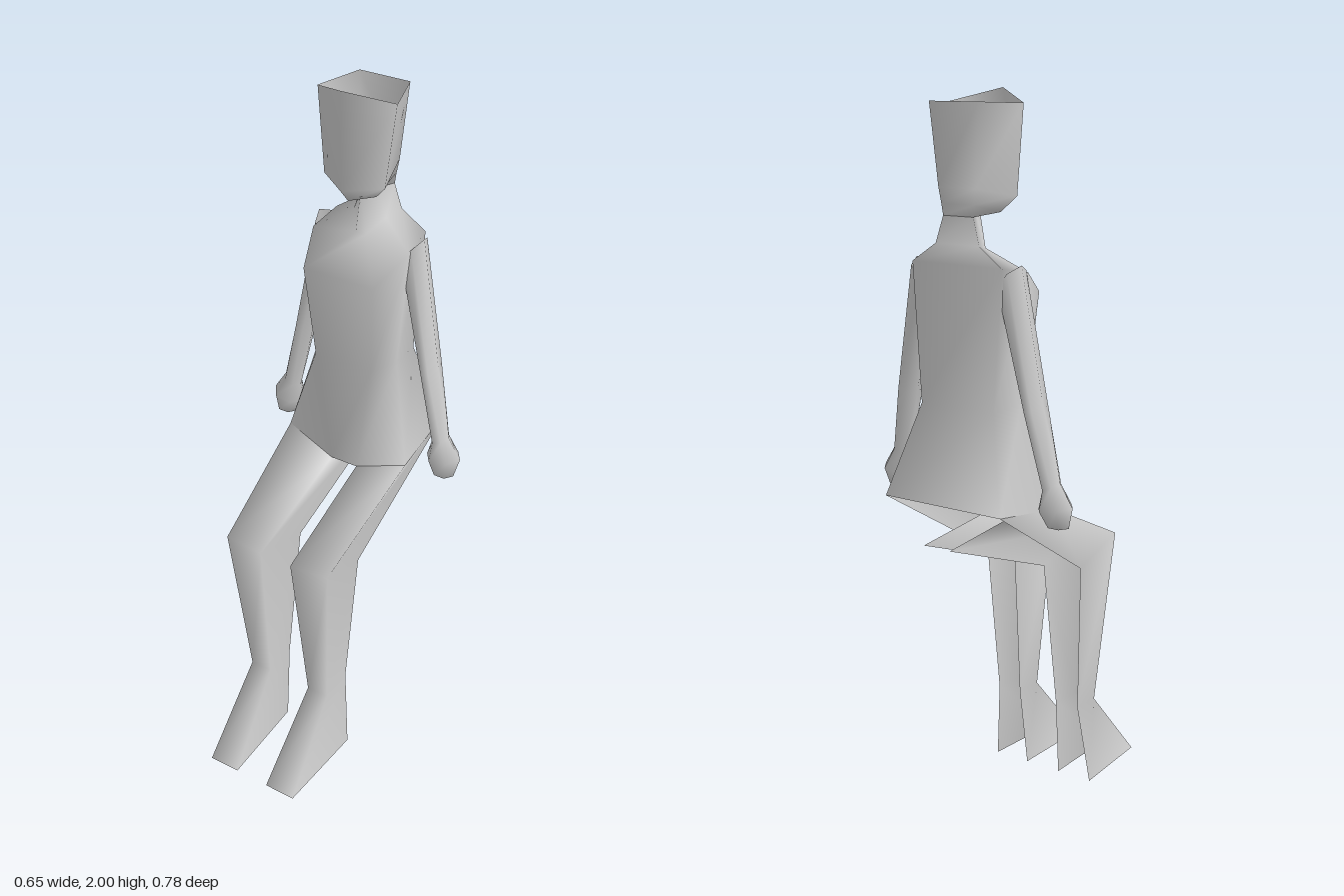
import * as THREE from 'three';

const material = new THREE.MeshStandardMaterial({ color: 0xcccccc, side: THREE.DoubleSide });

// Skin a list of cross-sections, ordered from top to bottom
function loft(name, rings, closed = true) {
  const n = rings[0].length, index = [];
  for (let i = 0; i < rings.length - 1; i++) {
    for (let j = 0; j < (closed ? n : n - 1); j++) {
      const k = (j + 1) % n;
      const a = i * n + j, b = i * n + k, c = a + n, d = b + n;
      index.push(a, c, b, b, c, d);
    }
  }
  const geometry = new THREE.BufferGeometry();
  geometry.setAttribute('position', new THREE.Float32BufferAttribute(rings.flat(2), 3));
  geometry.setIndex(index);
  geometry.computeVertexNormals();
  const mesh = new THREE.Mesh(geometry, material);
  mesh.name = name;
  return mesh;
}

const flip = ([x, y, z]) => [-x, y, z];

// Five-sided head section: front ridge, temples, back corners
const headRing = (front, side, back) => [front, side, back, flip(back), flip(side)];

// Six-sided body section: front, side and back corners, mirrored
const bodyRing = (front, side, back) =>
  [front, side, back, flip(back), flip(side), flip(front)];

// Six-sided oval section of an arm; slope tips the section outwards
function armRing(x, y, z, rx, rz, slope = 0) {
  return Array.from({ length: 6 }, (_, i) => {
    const t = (i * Math.PI) / 3 + Math.PI / 6;
    return [x + rx * Math.sin(t), y + slope * Math.sin(t), z + rz * Math.cos(t)];
  });
}

// Mirror whole sections, keeping the winding outward
const mirrorRings = (rings) => rings.map((ring) => ring.map(flip).reverse());

export function createModel() {
  const model = new THREE.Group();
  model.name = 'seatedFigure';
  const body = new THREE.Group();
  body.name = 'body';
  body.position.x = -0.02;
  model.add(body);

  // Head: open on top, narrowing under the chin to the throat
  body.add(loft('head', [
    headRing([0, 2, -0.08], [0.117, 1.965, -0.158], [0.075, 1.97, -0.292]),
    headRing([0, 1.73, -0.085], [0.092, 1.735, -0.15], [0.057, 1.76, -0.282]),
    headRing([0, 1.69, -0.12], [0.055, 1.695, -0.17], [0.05, 1.72, -0.28]),
    headRing([0, 1.69, -0.185], [0.023, 1.69, -0.23], [0.047, 1.69, -0.277]),
  ]));

  // Neck and torso: one tube, open at the seat
  body.add(loft('torso', [
    bodyRing([0.002, 1.69, -0.185], [0.023, 1.69, -0.23], [0.047, 1.69, -0.277]),
    bodyRing([0.015, 1.57, -0.185], [0.05, 1.61, -0.23], [0.068, 1.62, -0.282]),
    bodyRing([0.108, 1.485, -0.072], [0.15, 1.55, -0.185], [0.14, 1.57, -0.287]),
    bodyRing([0.09, 1.21, -0.102], [0.126, 1.21, -0.18], [0.115, 1.2, -0.29]),
    bodyRing([0.042, 0.865, -0.11], [0.195, 0.92, -0.125], [0.185, 0.952, -0.362]),
  ]));

  // Legs: channels open at the back and sole; corners run
  // inner back, inner front, outer front, outer back
  const legRings = [
    [[0.042, 0.845, -0.385], [0.042, 0.865, -0.11], [0.195, 0.92, -0.125], [0.185, 0.952, -0.362]],
    [[0.05, 0.682, 0.045], [0.05, 0.745, 0.245], [0.168, 0.75, 0.24], [0.16, 0.69, 0.065]],
    [[0.064, 0.25, 0.092], [0.068, 0.24, 0.19], [0.135, 0.24, 0.19], [0.138, 0.25, 0.092]],
    [[0.056, 0.01, 0.12], [0.053, 0, 0.398], [0.148, 0, 0.398], [0.165, 0.01, 0.12]],
  ];
  body.add(loft('leftLeg', legRings, false));
  body.add(loft('rightLeg', mirrorRings(legRings), false));

  // Arms with closed mitten hands; reach and depth differ per side
  const arm = (hx, hz, drop) => {
    const ex = 0.14 + (hx - 0.14) * 0.54;
    const ez = -0.237 + (hz + 0.237) * 0.5;
    return [
      armRing(0.135, 1.54, -0.237, 0.03, 0.05, 0.035),
      armRing(ex, 1.21, ez, 0.022, 0.045, 0.01),
      armRing(hx - 0.012, 1.02 - drop, hz, 0.026, 0.028, 0.012),
      armRing(hx, 0.965 - drop, hz, 0.052, 0.044, 0.008),
      armRing(hx + 0.005, 0.915 - drop, hz + 0.006, 0.032, 0.028),
      armRing(hx + 0.005, 0.91 - drop, hz + 0.006, 0, 0),
    ];
  };
  body.add(loft('leftArm', arm(0.294, -0.165, 0)));
  body.add(loft('rightArm', mirrorRings(arm(0.256, -0.215, 0.01))));

  return model;
}
